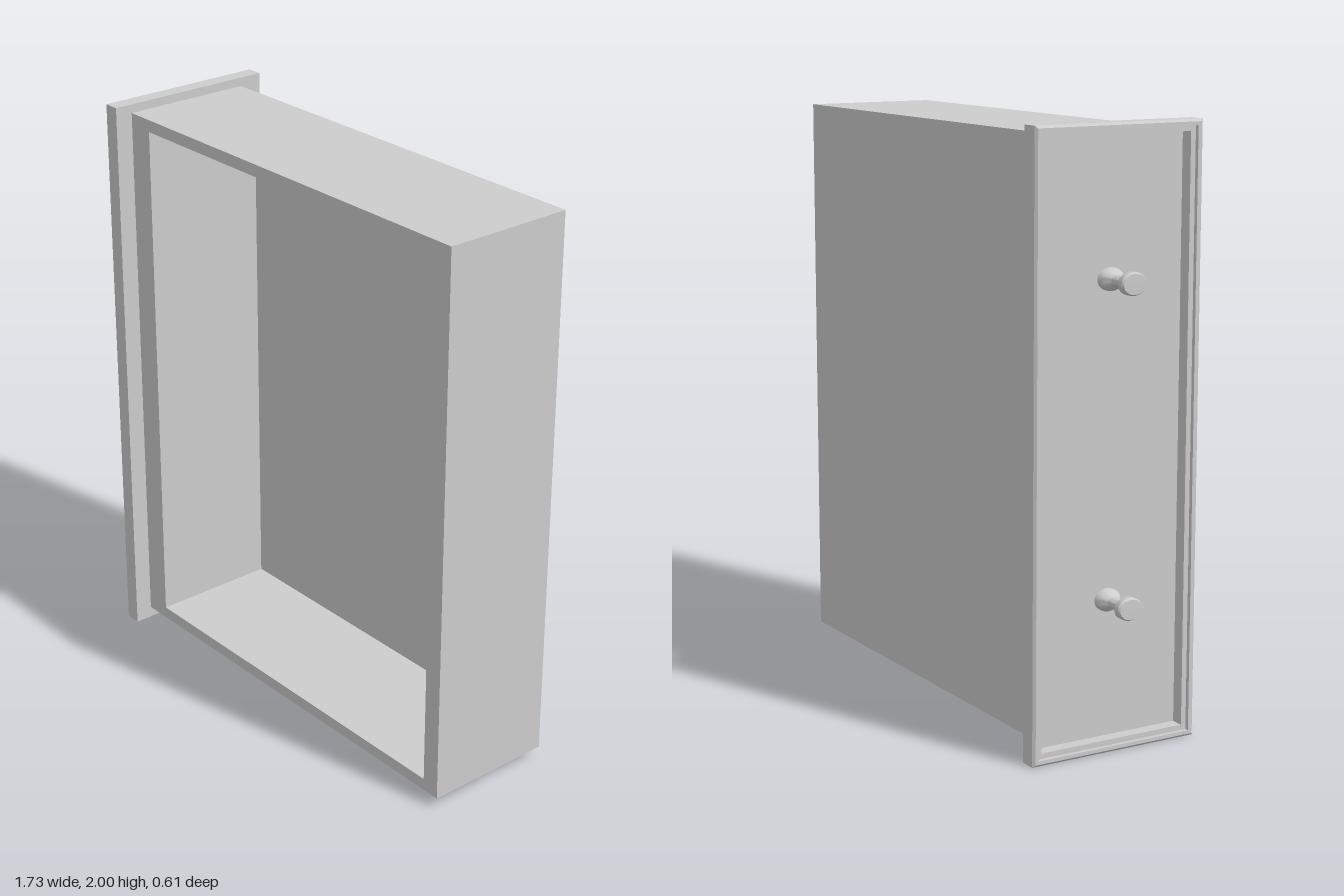
import * as THREE from 'three';
import { toCreasedNormals } from 'three/addons/utils/BufferGeometryUtils.js';

const grey = new THREE.MeshStandardMaterial({ color: 0xcccccc });
grey.name = 'plain grey';

function part(name, geometry, x = 0, y = 0, z = 0) {
  const mesh = new THREE.Mesh(geometry, grey);
  mesh.name = name;
  mesh.position.set(x, y, z);
  return mesh;
}

// Skin rectangular rings [x, halfHeight, halfDepth], running towards -x, and cap both ends
function loftRings(rings) {
  const pos = [];
  const quad = (a, b, c, d) => pos.push(...a, ...b, ...c, ...a, ...c, ...d);
  const loops = rings.map(([x, h, d]) => [[x, -h, -d], [x, -h, d], [x, h, d], [x, h, -d]]);
  for (let i = 0; i + 1 < loops.length; i++) {
    for (let k = 0; k < 4; k++) {
      const n = (k + 1) % 4;
      quad(loops[i][k], loops[i][n], loops[i + 1][n], loops[i + 1][k]);
    }
  }
  const first = loops[0], last = loops[loops.length - 1];
  quad(first[3], first[2], first[1], first[0]);
  quad(...last);
  const geometry = new THREE.BufferGeometry();
  geometry.setAttribute('position', new THREE.Float32BufferAttribute(pos, 3));
  geometry.computeVertexNormals();
  return geometry;
}

function rectangle(Type, x0, y0, x1, y1) {
  return new Type([
    new THREE.Vector2(x0, y0), new THREE.Vector2(x1, y0),
    new THREE.Vector2(x1, y1), new THREE.Vector2(x0, y1),
  ]);
}

export function createModel() {
  const model = new THREE.Group();
  model.name = 'drawer';

  // Four drawer walls, open towards +z
  const left = -0.72, right = 0.867, back = -0.223, front = 0.243, floor = 0.015;
  const outline = rectangle(THREE.Shape, left, 0.04, right, 1.97);
  outline.holes.push(rectangle(THREE.Path, -0.623, 0.082, 0.802, 1.928));
  const walls = new THREE.ExtrudeGeometry(outline, { depth: front - back - floor, bevelEnabled: false });
  model.add(part('drawerWalls', walls, 0, 0, back + floor));

  // Thin drawer bottom
  const bottom = new THREE.BoxGeometry(right - left, 1.93, floor);
  model.add(part('drawerBottom', bottom, (left + right) / 2, 1.005, back + floor / 2));

  // Face board: bevelled rim, then a small step down into a deep recess
  const recess = -0.726;
  const board = loftRings([
    [left, 1, 0.306],
    [-0.776, 1, 0.306],
    [-0.784, 0.992, 0.298],
    [-0.784, 0.98, 0.285],
    [-0.77, 0.98, 0.285],
    [-0.77, 0.962, 0.267],
    [recess, 0.962, 0.267],
  ]);
  model.add(part('faceBoard', board, 0, 1, 0));

  // Two spool-shaped knobs standing on the recess floor, slightly oval
  const profile = [
    [0, 0], [0.046, 0], [0.046, 0.012], [0.038, 0.026], [0.024, 0.044],
    [0.022, 0.093], [0.03, 0.1], [0.043, 0.108], [0.046, 0.113],
    [0.046, 0.133], [0.041, 0.14], [0, 0.141],
  ].map(([r, h]) => new THREE.Vector2(r, h));
  const knob = toCreasedNormals(new THREE.LatheGeometry(profile, 24), 0.6);
  for (const y of [0.49, 1.515]) {
    const mesh = part('knob', knob, recess, y, 0);
    mesh.rotation.z = Math.PI / 2;
    mesh.scale.x = 0.8;
    model.add(mesh);
  }
  return model;
}
